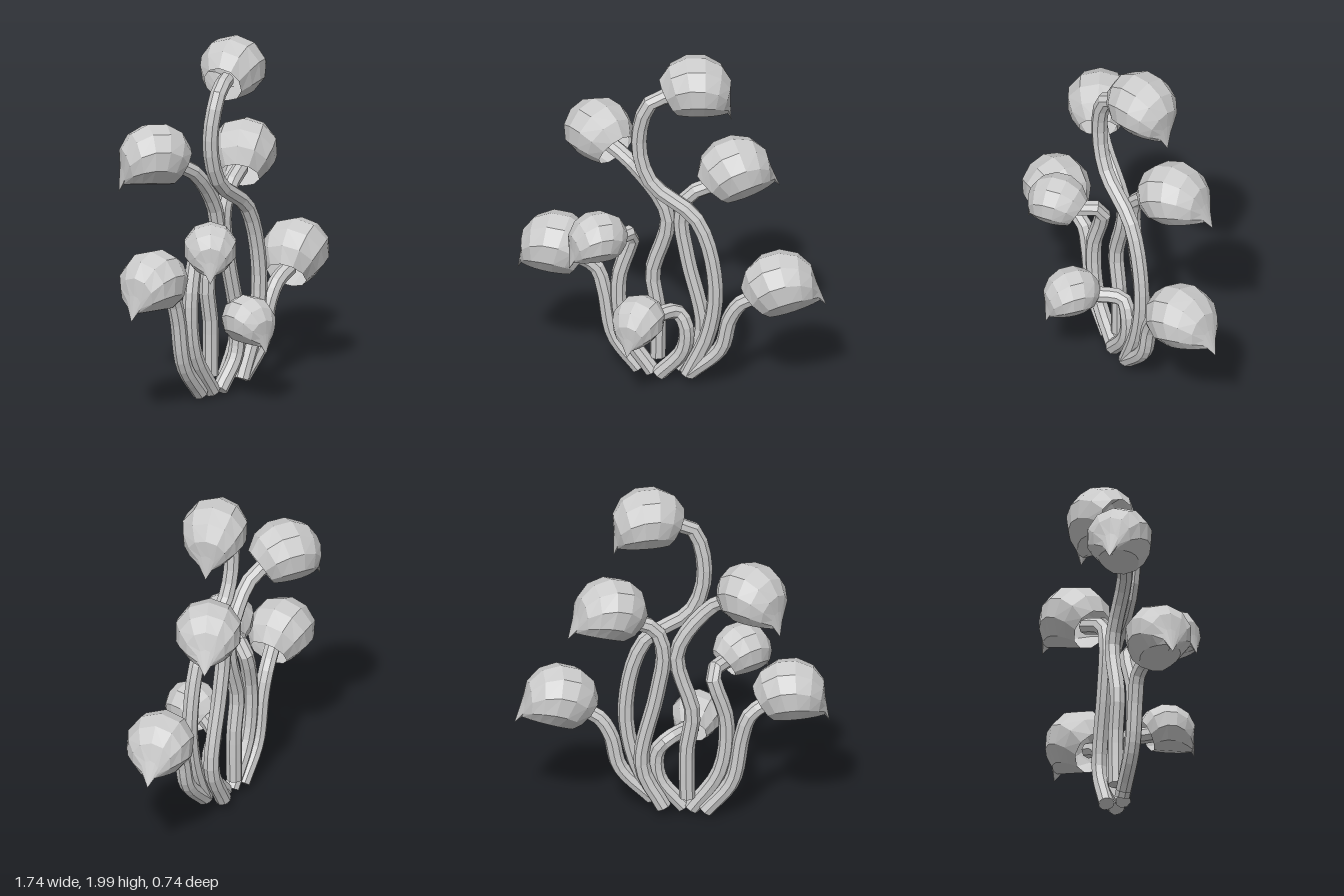
import * as THREE from 'three';

const SIDES = 10, RINGS = 7, STEM_RADIUS = 0.045;
const { lerp, degToRad } = THREE.MathUtils;
const material = new THREE.MeshStandardMaterial({
  color: 0xcccccc, flatShading: true, side: THREE.DoubleSide,
});

// Hollow hood: the top follows an arc, the underside stays almost level,
// each section is an ellipse between them, and the last closes into a hooked beak
function hoodGeometry() {
  const positions = [], index = [];
  for (let r = 0; r <= RINGS; r++) {
    const t = r / (RINGS - 1), beak = r === RINGS;
    const arc = degToRad(lerp(165, -18, t));
    const top = beak ? [0.2, -0.205] : [0.205 * Math.cos(arc), 0.185 * Math.sin(arc)];
    const bottom = beak ? top : [lerp(-0.09, 0.18, t), -0.163];
    const width = beak ? 0 : 0.185 * Math.sin(Math.PI * lerp(0.2, 0.92, t));
    for (let s = 0; s < SIDES; s++) {
      const a = (s / SIDES) * Math.PI * 2, k = (1 - Math.cos(a)) / 2;
      positions.push(lerp(top[0], bottom[0], k), lerp(top[1], bottom[1], k), width * Math.sin(a));
      if (beak) continue;
      const p = r * SIDES + s, q = r * SIDES + ((s + 1) % SIDES);
      index.push(p, q, p + SIDES);
      if (r < RINGS - 1) index.push(q, q + SIDES, p + SIDES);
    }
  }
  const geometry = new THREE.BufferGeometry();
  geometry.setAttribute('position', new THREE.Float32BufferAttribute(positions, 3));
  geometry.setIndex(index);
  geometry.computeVertexNormals();
  return geometry;
}

// Faceted stem with a flat closed foot
function makeStem(points) {
  const curve = new THREE.CatmullRomCurve3(points);
  const shaft = new THREE.Mesh(new THREE.TubeGeometry(curve, points.length * 3, STEM_RADIUS, 8), material);
  shaft.name = 'stemShaft';
  const foot = new THREE.Mesh(new THREE.CircleGeometry(STEM_RADIUS, 8), material);
  foot.name = 'stemFoot';
  foot.position.copy(points[0]);
  foot.quaternion.setFromUnitVectors(new THREE.Vector3(0, 0, 1), curve.getTangent(0).negate());
  return new THREE.Group().add(shaft, foot);
}

export function createModel() {
  const model = new THREE.Group();
  model.name = 'hoodedPlantCluster';
  const geometry = hoodGeometry();

  // Hood centre, heading and upward pitch in degrees, size, stem depth, stem path in x, y
  function addPlant(name, centre, heading, pitch, size, depth, ...path) {
    const hood = new THREE.Mesh(geometry, material);
    hood.name = name + 'Hood';
    hood.position.set(...centre);
    hood.rotation.set(0, degToRad(heading), degToRad(pitch), 'YZX');
    hood.scale.setScalar(size);
    hood.updateMatrix();

    // Stem rises in its own plane, then runs in through the hood's rim
    const points = path.map(([x, y]) => new THREE.Vector3(x, y, depth));
    points.push(new THREE.Vector3(-0.09, -0.04, 0).applyMatrix4(hood.matrix));
    const stem = makeStem(points);
    stem.name = name + 'Stem';
    model.add(hood, stem);
  }

  addPlant('tall', [0.13, 1.815, -0.09], 16, 0, 1, -0.01,
    [0.11, 0.06], [0.23, 0.34], [0.265, 0.65], [0.16, 1.03], [-0.1, 1.23], [-0.17, 1.47], [-0.1, 1.73]);
  addPlant('upperRight', [-0.44, 1.42, -0.18], 145, 4, 1, -0.08,
    [-0.08, 0.11], [-0.08, 0.42], [-0.11, 0.63], [-0.025, 1], [-0.23, 1.3]);
  addPlant('upperLeft', [0.33, 1.285, -0.17], 27, 19, 1.02, -0.09,
    [0.05, 0.05], [0.17, 0.3], [0.085, 0.75], [0.05, 1], [0.1, 1.14]);
  addPlant('lowerLeft', [0.62, 0.675, -0.04], 16, 19, 1.03, -0.01,
    [0.12, 0.07], [0.3, 0.25], [0.35, 0.44], [0.42, 0.55]);
  addPlant('lowerRight', [-0.64, 0.765, -0.03], 183, 7, 1, -0.07,
    [-0.18, 0.03], [-0.33, 0.22], [-0.385, 0.5], [-0.43, 0.63]);
  addPlant('frontRight', [-0.36, 0.925, 0.14], 218, 4, 0.82, -0.05,
    [-0.1, 0.03], [-0.26, 0.27], [-0.295, 0.58], [-0.22, 0.87]);
  addPlant('frontSmall', [-0.11, 0.475, 0.205], 259, 0, 0.78, -0.03,
    [-0.06, 0.03], [0.08, 0.2], [0.09, 0.36], [0.04, 0.43]);
  return model;
}
